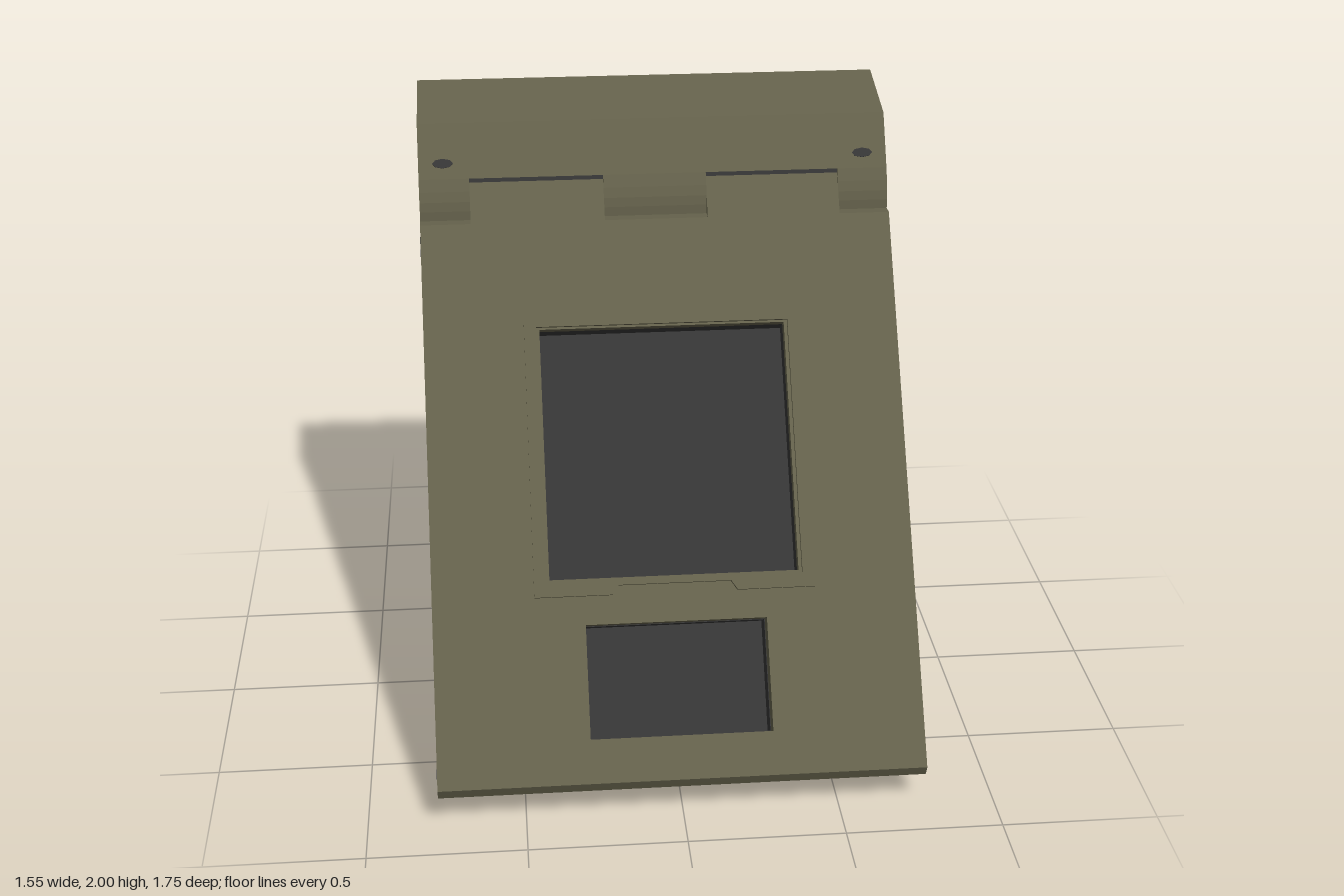
import * as THREE from 'three';

const olive = new THREE.MeshStandardMaterial({ color: 0x64614b });
olive.name = 'olive';
const charcoal = new THREE.MeshStandardMaterial({ color: 0x363636, side: THREE.DoubleSide });
charcoal.name = 'charcoal';

const TILT = -35 * Math.PI / 180;
const C = Math.cos(TILT), S = -Math.sin(TILT);
const BASE_Y = 0.147, BASE_Z = 0.877;

function add(parent, name, geometry, material) {
  const mesh = new THREE.Mesh(geometry, material);
  mesh.name = name;
  parent.add(mesh);
  return mesh;
}

// Closed path from points
const poly = (pts, Type = THREE.Shape) => new Type(pts.map(p => new THREE.Vector2(...p)));
const rect = (hw, y0, y1) => [[-hw, y0], [hw, y0], [hw, y1], [-hw, y1]];

// Side profile of [z, y] points, extruded along x
function extrudeX(profile, x0, x1) {
  const g = new THREE.ExtrudeGeometry(poly(profile.map(([z, y]) => [-z, y])),
    { depth: x1 - x0, bevelEnabled: false });
  return g.rotateY(Math.PI / 2).translate(x0, 0, 0);
}

// Outline with holes, extruded along the panel normal
function plate(outline, holes, w0, w1, steps = 1) {
  const shape = poly(outline);
  shape.holes = holes.map(h => poly(h, THREE.Path));
  return new THREE.ExtrudeGeometry(shape, { depth: w1 - w0, steps, bevelEnabled: false })
    .translate(0, 0, w0);
}

// Cut the lower and upper ends of a tilted slab level with the ground
function levelEnds(g, yBottom, yTop) {
  const p = g.attributes.position;
  for (let i = 0; i < p.count; i++) {
    const v = p.getY(i), w = p.getZ(i);
    const cut = y => (y - BASE_Y - S * w) / C;
    if (v < 0.01) p.setY(i, w > -0.034 ? 0.6 * w : cut(yBottom));
    else if (v > 1.8) p.setY(i, cut(yTop));
  }
  g.computeVertexNormals();
  return g;
}

// Open tapered housing: three rings of eight corners
function housingGeometry() {
  const halfWidth = z => 0.769 - 0.069 * Math.max(0, (z + 0.45) / 1.11);
  const ring = (zs, ys) => {
    const right = zs.map((z, i) => [halfWidth(z) - (i % 3 === 0 ? 0.09 : 0), ys[i], z]);
    return [...right, ...right.slice().reverse().map(([x, y, z]) => [-x, y, z])];
  };
  const rings = [
    ring([-0.875, -0.875, -0.875, -0.875], [0, 0.09, 1.52, 1.6]),
    ring([-0.45, -0.45, -0.45, -0.45], [0, 0.09, 1.52, 1.6]),
    ring([0.66, 0.61, -0.305, -0.36], [0.11, 0.185, 1.52, 1.6]),
  ];
  const pos = [];
  for (let r = 0; r < 2; r++) {
    for (let i = 0; i < 8; i++) {
      const j = (i + 1) % 8;
      const a = rings[r][i], b = rings[r][j], c = rings[r + 1][j], d = rings[r + 1][i];
      pos.push(...a, ...b, ...c, ...a, ...c, ...d);
    }
  }
  const g = new THREE.BufferGeometry();
  g.setAttribute('position', new THREE.Float32BufferAttribute(pos, 3));
  g.computeVertexNormals();
  return g;
}

export function createModel() {
  const model = new THREE.Group();
  model.name = 'slopedConsole';
  add(model, 'housing', housingGeometry(), charcoal);

  // Tilted front panel: y runs up the slope, z points out of it
  const panel = new THREE.Group();
  panel.name = 'frontPanel';
  panel.position.set(0, BASE_Y, BASE_Z);
  panel.rotation.x = TILT;
  model.add(panel);

  const slot = rect(0.29, 0.138, 0.498);
  const opening = rect(0.4, 0.645, 1.46);
  const socket = rect(0.42, 0.63, 1.47);
  add(panel, 'faceplate', levelEnds(
    plate(rect(0.775, 0, 1.85), [socket, slot], -0.0875, 0, 5), 0.11, 1.64), olive);
  add(panel, 'backingPlate', levelEnds(
    plate(rect(0.77, 0, 1.85), [socket, slot], -0.153, -0.0875), 0.11, 1.6), charcoal);

  // Window frame with notched top and bottom, lining and rear flange
  const frame = [[-0.45, 0.59], [-0.2, 0.59], [-0.18, 0.62], [0.18, 0.62], [0.2, 0.59], [0.45, 0.59],
    [0.45, 1.505], [0.2, 1.505], [0.18, 1.48], [-0.18, 1.48], [-0.2, 1.505], [-0.45, 1.505]];
  const liner = rect(0.425, 0.627, 1.473);
  add(panel, 'windowFrame', plate(frame, [rect(0.411, 0.636, 1.467)], -0.01, 0.018), olive);
  add(panel, 'windowFrameStep', plate(liner, [opening], -0.03, 0.006), olive);
  add(panel, 'windowLining', plate(liner, [opening], -0.09, -0.03), charcoal);
  add(panel, 'windowRearLining', plate(liner, [opening], -0.152, -0.09), olive);
  add(panel, 'windowFlange', plate(frame, [opening], -0.162, -0.152), olive);

  // Recessed screen, slot lining and slot back
  add(panel, 'screen', new THREE.PlaneGeometry(0.82, 0.83).translate(0, 1.0525, -0.089), charcoal);
  add(panel, 'slotLining', plate(rect(0.3, 0.128, 0.508), [rect(0.288, 0.14, 0.496)], -0.0875, -0.06), charcoal);
  add(panel, 'slotBack', new THREE.PlaneGeometry(0.6, 0.38).translate(0, 0.318, -0.1535), charcoal);

  // Hood: thin top shell and curved front strips between the hinges
  const hood = new THREE.Group();
  hood.name = 'hood';
  model.add(hood);
  const curve = [[-0.207, 1.64], [-0.209, 1.67], [-0.215, 1.7], [-0.226, 1.732], [-0.245, 1.77]];
  add(hood, 'hoodShell', extrudeX([[-0.245, 1.77], [-0.34, 1.93], [-0.61, 2], [-0.605, 1.987],
    [-0.347, 1.919], [-0.259, 1.77]], -0.765, 0.765), olive);
  const strip = [[-0.207, 1.62], ...curve, [-0.26, 1.77], [-0.24, 1.73], [-0.23, 1.62]];
  for (const [x0, x1] of [[-0.765, -0.61], [-0.17, 0.17], [0.61, 0.765]]) {
    add(hood, 'hoodFrontStrip', extrudeX(strip, x0, x1), olive);
  }

  // Parts repeated on both sides
  const cheek = [[-0.207, 1.6], ...curve, [-0.34, 1.93], [-0.61, 2], [-0.45, 1.6]];
  const hinge = [[-0.215, 1.62], [-0.24, 1.7], [-0.262, 1.768], [-0.3, 1.785], [-0.33, 1.77],
    [-0.35, 1.73], [-0.36, 1.67], [-0.36, 1.6], [-0.23, 1.6]];
  for (const s of [-1, 1]) {
    add(hood, 'hoodCheek', extrudeX(cheek, s > 0 ? 0.76 : -0.775, s > 0 ? 0.775 : -0.76), olive);
    add(model, 'hingeBody', extrudeX(hinge, s > 0 ? 0.17 : -0.61, s > 0 ? 0.61 : -0.17), charcoal);
    add(panel, 'hingeTab', new THREE.BoxGeometry(0.44, 0.163, 0.04).translate(s * 0.39, 1.8815, -0.02), olive);

    // Rim along the sloped side edge of the housing
    const rim = [[0.63, 0.16], [0.7, 0.18], [0.757, 1.81], [0.74, 1.86], [0.69, 1.86]];
    add(panel, 'housingRim', plate(rim.map(([x, v]) => [s * x, v]), [], -0.199, -0.191), charcoal);

    const hoodScrew = add(hood, 'hoodScrew', new THREE.CylinderGeometry(1, 1, 0.004, 8)
      .rotateX(Math.PI / 2).scale(0.034, 0.016, 1), charcoal);
    hoodScrew.position.set(s * 0.695, 1.815, -0.271);
    hoodScrew.rotation.x = -0.536;

    for (const v of [0.06, 1.754]) {
      add(panel, 'sideScrew', new THREE.CylinderGeometry(1, 1, 0.003, 8)
        .rotateZ(Math.PI / 2).scale(1, 0.038, 0.02).translate(s * 0.775, v, -0.03), charcoal);
    }
  }
  return model;
}
